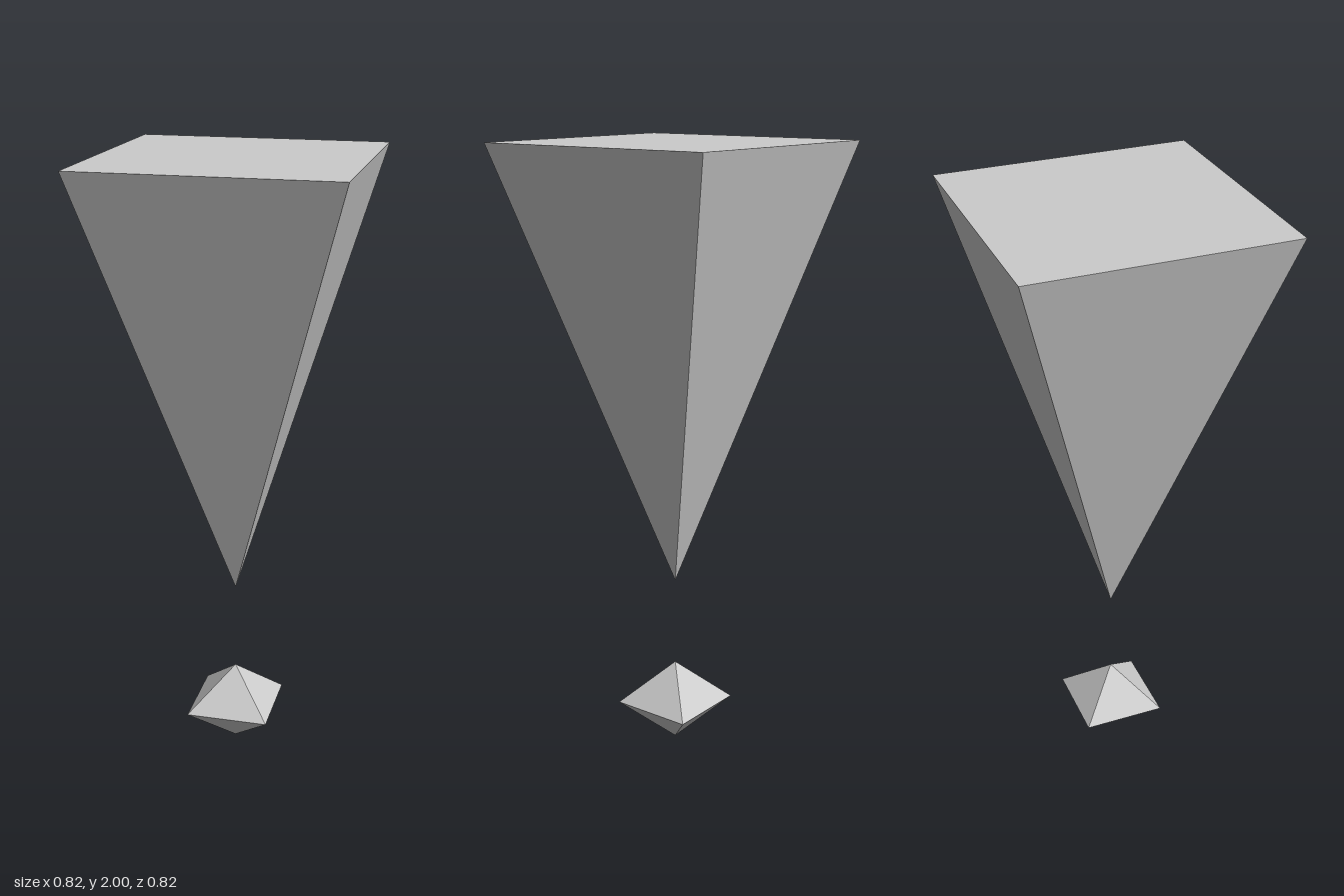
import * as THREE from 'three';

const material = new THREE.MeshStandardMaterial({ color: 0xcccccc, flatShading: true });

// Square pyramid with sides facing the axes, base at y = 0, apex up or down
function pyramid(half, height, pointsDown, openBase) {
  const g = new THREE.ConeGeometry(half * Math.SQRT2, height, 4, 1, openBase, Math.PI / 4);
  g.translate(0, height / 2, 0);
  if (pointsDown) g.rotateX(Math.PI);
  return g;
}

export function createModel() {
  const group = new THREE.Group();
  const add = (name, geometry, y, parent = group) => {
    const mesh = new THREE.Mesh(geometry, material);
    mesh.name = name;
    mesh.position.y = y;
    parent.add(mesh);
  };

  // Tall inverted spike with a flat square top
  add('spike', pyramid(0.408, 1.427, true, false), 2);

  // Small floating diamond made of two open pyramids
  const diamond = new THREE.Group();
  diamond.name = 'diamond';
  diamond.position.y = 0.139;
  add('diamondTop', pyramid(0.136, 0.139, false, true), 0, diamond);
  add('diamondBottom', pyramid(0.136, 0.139, true, true), 0, diamond);
  group.add(diamond);

  return group;
}
